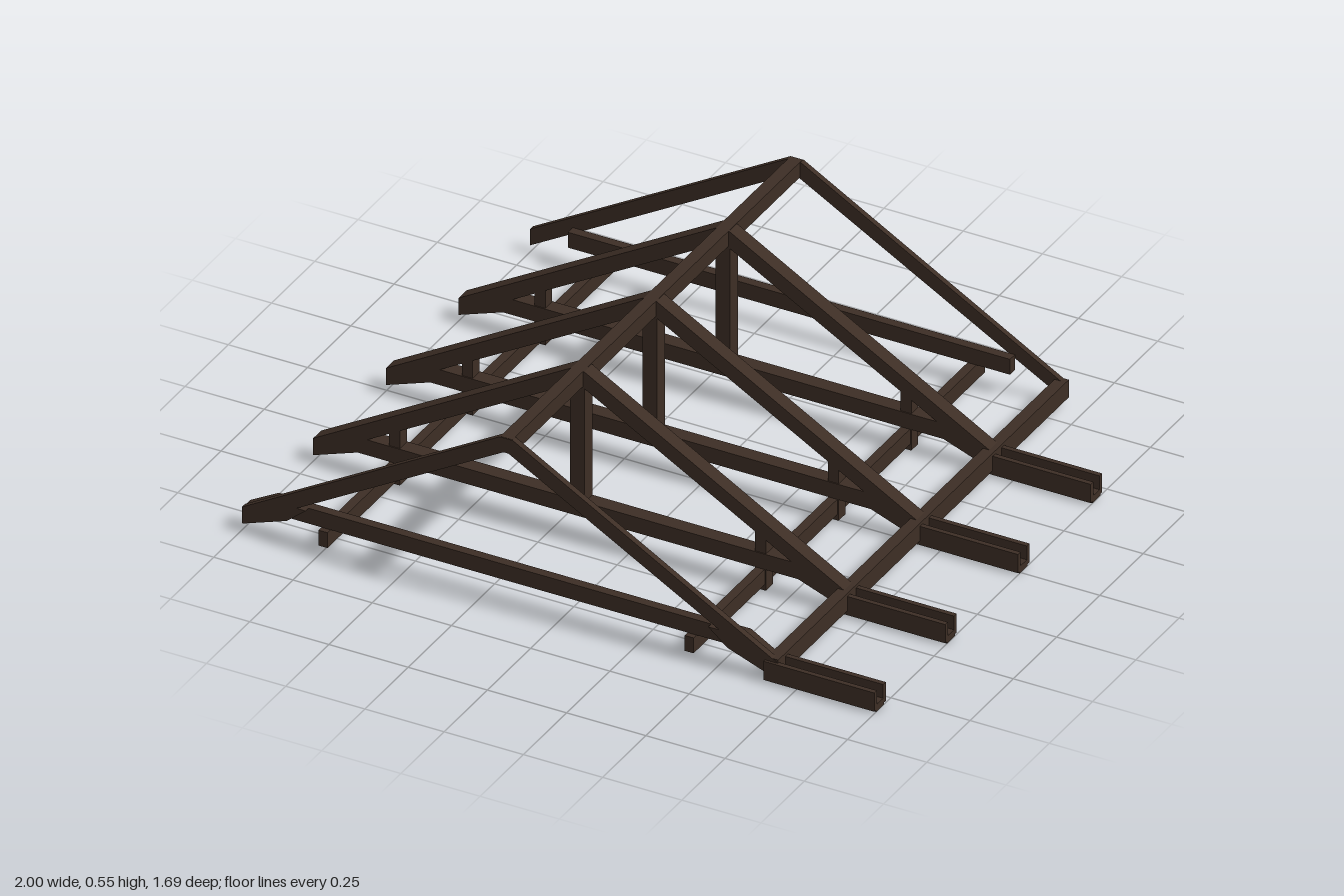
import * as THREE from 'three';

export function createModel() {
  const model = new THREE.Group();
  model.name = 'roofFrame';
  const darkWood = new THREE.MeshStandardMaterial({ color: 0x3d2e25 });
  darkWood.name = 'darkWood';

  // Box timber given by its min and max on each axis
  function timber(parent, name, x0, x1, y0, y1, z0, z1) {
    const mesh = new THREE.Mesh(new THREE.BoxGeometry(x1 - x0, y1 - y0, z1 - z0), darkWood);
    mesh.position.set((x0 + x1) / 2, (y0 + y1) / 2, (z0 + z1) / 2);
    mesh.name = name;
    parent.add(mesh);
  }

  // Timber with a sawn outline in x and y, running from z0 to z1
  function sawn(parent, name, outline, z0, z1) {
    const shape = new THREE.Shape(outline.map(([x, y]) => new THREE.Vector2(x, y)));
    const geometry = new THREE.ExtrudeGeometry(shape, { depth: z1 - z0, bevelEnabled: false });
    const mesh = new THREE.Mesh(geometry, darkWood);
    mesh.position.z = z0;
    mesh.name = name;
    parent.add(mesh);
  }

  const leftRafter = [[-1, 0.022], [-0.167, 0.503], [-0.167, 0.545], [-0.187, 0.545], [-1, 0.075]];
  const rightRafter = [[0.69, 0.018], [0.69, 0.068], [-0.145, 0.545], [-0.167, 0.545], [-0.167, 0.503]];
  const leftTail = [[-1, 0.02], [-0.86, 0.07], [-0.8, 0.12], [-0.91, 0.122], [-1, 0.072]];
  const rightTail = [[0.655, 0.024], [0.66, 0.075], [0.58, 0.122], [0.47, 0.12], [0.53, 0.07]];

  // Trusses: rafter span, joist span and beam centre differ at the two gable ends
  const frames = [
    { z: 0.812, rafter: [0.818, 0.837], joist: [0.79, 0.818], tails: true },
    { z: 0.402, tails: true, inner: true },
    { z: -0.018, tails: true, inner: true },
    { z: -0.438, tails: true, inner: true },
    { z: -0.82, rafter: [-0.845, -0.828], joist: [-0.828, -0.8] },
  ];
  for (const { z, rafter, joist, tails, inner } of frames) {
    const truss = new THREE.Group();
    truss.name = inner ? 'innerTruss' : 'gableTruss';
    const full = [z - 0.023, z + 0.023];
    sawn(truss, 'leftRafter', leftRafter, ...(rafter || full));
    sawn(truss, 'rightRafter', rightRafter, ...(rafter || full));
    timber(truss, 'ceilingJoist', -0.865, 0.53, 0.07, 0.12, ...(joist || full));
    if (tails) {
      sawn(truss, 'leftEaveTail', leftTail, ...full);
      sawn(truss, 'rightEaveTail', rightTail, ...full);
    }
    if (inner) {
      timber(truss, 'kingPost', -0.19, -0.144, 0.12, 0.51, ...full);
      for (const x of [-0.745, 0.41]) {
        timber(truss, 'shortPost', x - 0.017, x + 0.017, 0, 0.2, z - 0.02, z + 0.02);
      }
    }
    model.add(truss);

    // Trough-shaped beam reaching out past the eave
    if (tails) {
      const beam = new THREE.Group();
      beam.name = 'eaveBeam';
      timber(beam, 'beamBase', 0.65, 1, 0, 0.022, z - 0.023, z + 0.023);
      for (const side of [-1, 1]) {
        const c = z + side * 0.0255;
        timber(beam, 'beamSide', 0.65, 1, 0.006, 0.067, c - 0.0075, c + 0.0075);
      }
      model.add(beam);
    }
  }

  // Timbers running the length of the roof
  timber(model, 'ridgeBeam', -0.186, -0.148, 0.497, 0.546, -0.842, 0.835);
  timber(model, 'eaveBoard', 0.655, 0.691, 0.02, 0.077, -0.845, 0.835);
  for (const x of [-0.745, 0.41]) {
    timber(model, 'wallPlate', x - 0.014, x + 0.014, 0.02, 0.07, -0.848, 0.835);
  }
  return model;
}
